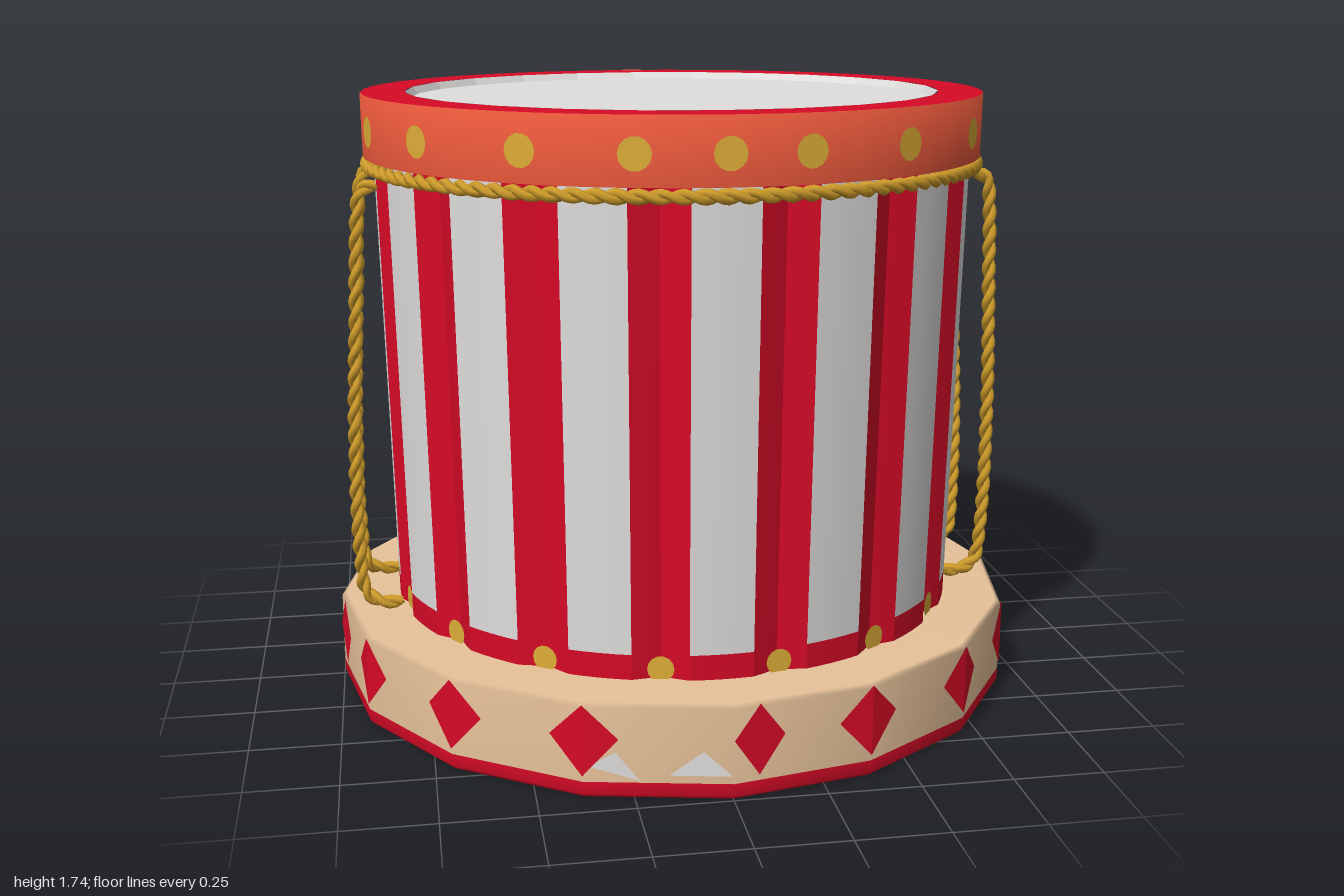
import * as THREE from 'three';
import { mergeGeometries } from 'three/addons/utils/BufferGeometryUtils.js';

const SIDES = 16, STEP = Math.PI * 2 / SIDES;

export function createModel() {
  const drum = new THREE.Group();
  drum.name = 'drum';
  const mat = (name, color, extra = {}) => {
    const m = new THREE.MeshStandardMaterial({ color, ...extra });
    m.name = name;
    return m;
  };
  const red = mat('red', 0xd80a27, { side: THREE.DoubleSide });
  const orange = mat('orange red', 0xe6573a);
  const white = mat('off white', 0xe1dfde, { side: THREE.DoubleSide });
  const tan = mat('tan', 0xe8c39a);
  const gold = mat('gold', 0xdfae38);
  const ropeGold = mat('rope gold', 0xcf9c2a);

  const add = (name, geometry, material, parent = drum) => {
    const mesh = new THREE.Mesh(geometry, material);
    mesh.name = name;
    parent.add(mesh);
    return mesh;
  };
  const lathe = (points, segments) => new THREE.LatheGeometry(points.map(p => new THREE.Vector2(...p)), segments);
  const hard = g => { // faceted normals
    const f = g.toNonIndexed();
    f.computeVertexNormals();
    return f;
  };
  const ring = (inner, outer, y, up, segments) =>
    new THREE.RingGeometry(inner, outer, segments, 1, Math.PI / 2).rotateX(up ? -Math.PI / 2 : Math.PI / 2).translate(0, y, 0);
  // Disc plate facing outwards on a round wall
  const wallDot = (angle, y, r, radius) =>
    new THREE.CircleGeometry(radius, 14).translate(0, y, r).rotateY(angle);

  // Sixteen-sided base with soft edges
  const R = 0.997;
  add('baseFootBand', lathe([[R - 0.01, 0], [R, 0.012], [R, 0.045]], SIDES), red);
  add('baseWall', lathe([[R, 0.045], [R, 0.25], [R - 0.014, 0.26], [0.76, 0.26]], SIDES), tan);

  // Diamonds folded over the corners of the base, one in four slid along its side, with pale chips
  const rimPoint = (k, t, y) => {
    const a = k * STEP, b = (k + 1) * STEP, r = R + 0.004;
    return [r * THREE.MathUtils.lerp(Math.sin(a), Math.sin(b), t), y,
      r * THREE.MathUtils.lerp(Math.cos(a), Math.cos(b), t)];
  };
  const triangles = list => {
    const g = new THREE.BufferGeometry();
    g.setAttribute('position', new THREE.Float32BufferAttribute(list.flat(), 3));
    g.computeVertexNormals();
    return g;
  };
  const diamonds = [], chips = [];
  for (let k = 0; k < SIDES; k++) {
    const slid = k % 4 === 0, t = slid ? 0.18 : 0;
    const low = rimPoint(k, t, 0.062), high = rimPoint(k, t, 0.258);
    const left = slid ? rimPoint(k, 0, 0.165) : rimPoint(k - 1, 0.76, 0.165);
    diamonds.push(low, rimPoint(k, t + (slid ? 0.18 : 0.24), 0.165), high, low, high, left);
    if (k % 4 === 3) {
      chips.push(rimPoint(k, 0.04, 0.09), rimPoint(k, 0.38, 0.052), rimPoint(k, 0.22, 0.13));
      chips.push(rimPoint(k, 0.57, 0.068), rimPoint(k, 0.99, 0.068), rimPoint(k, 0.8, 0.135));
    }
  }
  add('baseDiamonds', triangles(diamonds), red);
  add('baseChips', triangles(chips), white);

  // Underside: red rings stepping up to a tan panel with a hub and spokes
  add('undersideRing', ring(0.82, R - 0.01, 0, false, SIDES), red);
  add('undersideStep', hard(lathe([[0.74, 0.04], [0.76, 0.015], [0.79, 0.015], [0.8, 0.03], [0.82, 0.03], [0.82, 0]], 32)), red);
  add('undersidePanel', new THREE.CircleGeometry(0.75, 32).rotateX(Math.PI / 2).translate(0, 0.04, 0), tan);
  const spokes = new THREE.Group();
  spokes.name = 'undersideSpokes';
  drum.add(spokes);
  add('hub', new THREE.CircleGeometry(0.165, 12).rotateX(Math.PI / 2).translate(0, 0.036, 0), red, spokes);
  for (let i = 0; i < 8; i++) {
    add('spoke', new THREE.PlaneGeometry(0.055, 0.65).rotateX(Math.PI / 2)
      .translate(0, 0.036, 0.42).rotateY(i * Math.PI / 4), red, spokes);
  }

  // Body: flat plane patches bent around a slightly flaring wall
  const wallRadius = y => THREE.MathUtils.lerp(0.825, 0.855, (y - 0.26) / 1.3);
  const patch = (a0, a1, y0, y1, nu, nv, inset = () => 0) => {
    const g = new THREE.PlaneGeometry(1, 1, nu, nv), p = g.attributes.position;
    for (let i = 0; i < p.count; i++) {
      const a = a0 + (a1 - a0) * (p.getX(i) + 0.5), y = y0 + (y1 - y0) * (p.getY(i) + 0.5);
      const r = wallRadius(y) - inset(a);
      p.setXYZ(i, r * Math.sin(a), y, r * Math.cos(a));
    }
    g.computeVertexNormals();
    return g;
  };
  const half = 0.104, whitePanels = [], redFolds = [];
  for (let k = 0; k < SIDES; k++) {
    const c = k * STEP, mid = c + STEP / 2, gap = STEP / 2 - half;
    whitePanels.push(patch(c - half, c + half, 0.33, 1.57, 4, 4));
    redFolds.push(patch(c - half, c + half, 0.25, 0.33, 4, 1));
    // V-shaped pleat between the panels
    const pleat = a => 0.03 * (1 - Math.abs(a - mid) / gap);
    redFolds.push(patch(c + half, mid, 0.25, 1.57, 2, 4, pleat));
    redFolds.push(patch(mid, mid + gap, 0.25, 1.57, 2, 4, pleat));
  }
  add('bodyWhiteStripes', mergeGeometries(whitePanels), white);
  add('bodyRedPleats', mergeGeometries(redFolds), red);
  add('bodyStuds', mergeGeometries(Array.from({ length: SIDES }, (_, k) =>
    wallDot((k + 0.5) * STEP, 0.288, 0.813, 0.036))), gold);

  // Top hoop with a soft upper edge, its red upper face and the drum skin
  add('hoopUnderside', ring(0.82, 0.884, 1.56, false, 48), orange);
  add('hoopWall', lathe([[0.884, 1.56], [0.886, 1.734], [0.8, 1.732]], 48), orange);
  add('hoopTop', ring(0.76, 0.884, 1.736, true, 48), red);
  add('hoopTopMark', new THREE.CircleGeometry(0.035, 14).rotateX(-Math.PI / 2).translate(0, 1.739, -0.825), orange);
  add('skinEdge', hard(lathe([[0.76, 1.736], [0.745, 1.715]], 24)), white);
  add('skin', ring(0, 0.75, 1.716, true, 24), white);
  const dots = [];
  for (let q = 0; q < 4; q++) {
    for (const deg of [0, 13.5, 33.5, 56, 75]) {
      dots.push(wallDot(THREE.MathUtils.degToRad(q * 90 + deg), 1.643, 0.891, 0.043));
    }
  }
  add('hoopDots', mergeGeometries(dots), gold);

  // Rope: two strands twisted about a centre curve
  const rope = (curve, closed) => {
    const twists = Math.round(curve.getLength() / 0.11), n = twists * 8;
    const frames = curve.computeFrenetFrames(n, closed);
    const strands = [0, Math.PI].map(phase => {
      const pts = [];
      for (let i = 0; i < (closed ? n : n + 1); i++) {
        const w = phase + i / n * twists * Math.PI * 2;
        pts.push(curve.getPointAt(i / n)
          .addScaledVector(frames.normals[i], 0.009 * Math.cos(w))
          .addScaledVector(frames.binormals[i], 0.009 * Math.sin(w)));
      }
      return new THREE.TubeGeometry(new THREE.CatmullRomCurve3(pts, closed), n, 0.0125, 6, closed);
    });
    return mergeGeometries(strands);
  };
  const circle = Array.from({ length: 32 }, (_, i) => {
    const a = i * Math.PI / 16;
    return new THREE.Vector3(0.872 * Math.sin(a), 1.537, 0.872 * Math.cos(a));
  });
  add('hoopRope', rope(new THREE.CatmullRomCurve3(circle, true), true), ropeGold);

  // Hanging ropes, a pair on each side
  const path = [[0.85, 1.5, 0.2], [0.89, 1.485, 0.195], [0.905, 1.4, 0.185], [0.918, 1.15, 0.175],
    [0.935, 0.8, 0.155], [0.935, 0.42, 0.14], [0.918, 0.3, 0.135], [0.86, 0.275, 0.15], [0.82, 0.28, 0.15]];
  for (const sx of [1, -1]) {
    for (const sz of [1, -1]) {
      const pts = path.map(([x, y, z]) => new THREE.Vector3(x * sx, y, z * sz));
      add(`${sx > 0 ? 'left' : 'right'}${sz > 0 ? 'Front' : 'Back'}Rope`,
        rope(new THREE.CatmullRomCurve3(pts), false), ropeGold);
    }
  }
  return drum;
}
